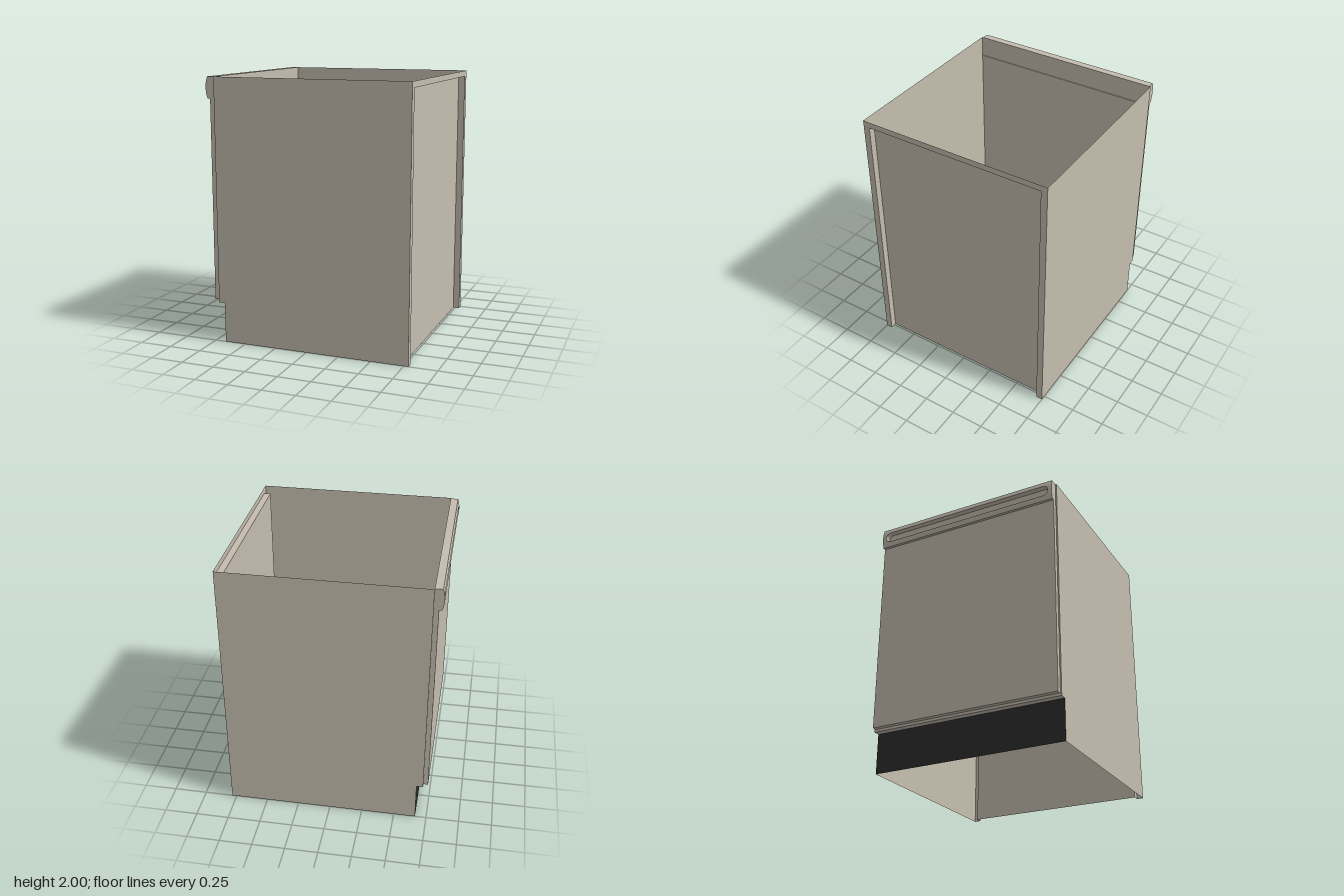
import * as THREE from 'three';
import { toCreasedNormals } from 'three/addons/utils/BufferGeometryUtils.js';

export function createModel() {
  const model = new THREE.Group();
  model.name = 'undercounterAppliance';
  // thin sheet metal is open, so both sides show
  const panelPaint = new THREE.MeshStandardMaterial({ color: 0xc5beaf, side: THREE.DoubleSide });
  panelPaint.name = 'warm grey panel';
  const kickPaint = new THREE.MeshStandardMaterial({ color: 0x2d2d2d, side: THREE.DoubleSide });
  kickPaint.name = 'black kick plate';

  const add = (name, geo, mat = panelPaint) => {
    const mesh = new THREE.Mesh(geo, mat);
    mesh.name = name;
    model.add(mesh);
    return mesh;
  };
  const outline = (pts) =>
    new THREE.ShapeGeometry(new THREE.Shape(pts.map(([a, b]) => new THREE.Vector2(a, b))));
  // sheet across x, from y0 to y1, facing side s
  const sheetX = (x, halfZ, y0, y1, s) =>
    new THREE.PlaneGeometry(2 * halfZ, y1 - y0).rotateY(s * Math.PI / 2).translate(x, (y0 + y1) / 2, 0);
  // level sheet
  const sheetY = (y, x0, x1, halfZ) =>
    new THREE.PlaneGeometry(x1 - x0, 2 * halfZ).rotateX(-Math.PI / 2).translate((x0 + x1) / 2, y, 0);

  const F = -0.714, K = -0.665, B = 0.785, R = 0.735; // front, kick, back, back recess
  const W = 0.75, RW = 0.70, RT = 1.955, KT = 0.305;

  // side walls with the toe notch
  const sidePts = [[K, 0], [B, 0], [B, 2], [F, 2], [F, KT], [K, KT]];
  for (const s of [1, -1]) {
    add(s > 0 ? 'leftSideWall' : 'rightSideWall', outline(sidePts).translate(0, 0, s * W));
    // cheeks of the back recess
    add('recessCheek', new THREE.PlaneGeometry(B - R, RT).translate((B + R) / 2, RT / 2, s * RW));
  }

  // front wall, toe ledge and kick plate
  add('frontWall', sheetX(F, W, KT, 2, -1));
  add('toeLedge', sheetY(KT, F, K, W));
  add('kickPlate', sheetX(K, W, 0, KT, -1), kickPaint);

  // back frame around the recessed panel
  const framePts = [[-W, 0], [-RW, 0], [-RW, RT], [RW, RT], [RW, 0], [W, 0], [W, 2], [-W, 2]];
  add('backFrame', outline(framePts).rotateY(Math.PI / 2).translate(B, 0, 0));
  add('backPanel', sheetX(R, RW, 0, RT, 1));
  add('recessTop', sheetY(RT, R, B, RW));

  // door slab
  add('door', new THREE.BoxGeometry(0.043, 1.515, 1.48).translate(-0.7285, 1.0825, 0));

  // bowed control strip with a round-ended grip slot, lofted along z
  const midY = 1.92, half = 0.08, floorX = -0.738, slotR = 0.04, slotEnd = 0.71, end = 0.74;
  const bow = (d) => -0.785 + 0.015 * (d / half) ** 2;
  const section = (h) => {
    const upper = [];
    for (let i = 0; i <= 6; i++) {
      const d = half + (h - half) * i / 6;
      upper.push([bow(d), d]);
    }
    const top = [[F, half], ...upper, [floorX, h]];
    const bottom = top.map(([x, d]) => [x, -d]).reverse();
    return [...top, ...bottom].map(([x, d]) => [x, midY + d]);
  };
  const stations = [[-end, 0]];
  for (const s of [-1, 1]) {
    for (let i = 0; i <= 8; i++) {
      const a = (s < 0 ? i : 8 - i) / 8 * Math.PI / 2;
      stations.push([s * (slotEnd - slotR + slotR * Math.cos(a)), slotR * Math.sin(a)]);
    }
  }
  stations.push([end, 0]);

  const rings = stations.map(([z, h]) =>
    section(Math.max(h, 0)).map(([x, y]) => new THREE.Vector3(x, y, z)));
  const pos = [];
  const tri = (a, b, c) => {
    const area = b.clone().sub(a).cross(c.clone().sub(a)).length();
    if (area > 1e-9) for (const p of [a, b, c]) pos.push(p.x, p.y, p.z);
  };
  for (let i = 0; i + 1 < rings.length; i++) {
    const n = rings[i].length;
    for (let j = 0; j < n; j++) {
      const k = (j + 1) % n;
      const a = rings[i][j], b = rings[i][k], c = rings[i + 1][k], d = rings[i + 1][j];
      tri(a, b, c);
      tri(a, c, d);
    }
  }
  const strip = new THREE.BufferGeometry();
  strip.setAttribute('position', new THREE.Float32BufferAttribute(pos, 3));
  add('handleStrip', toCreasedNormals(strip, 0.5));

  // strip end caps
  const capPts = [[F, midY + half]];
  for (let i = 0; i <= 12; i++) {
    const d = half - 2 * half * i / 12;
    capPts.push([bow(d), midY + d]);
  }
  capPts.push([F, midY - half]);
  for (const s of [1, -1]) add('handleEndCap', outline(capPts).translate(0, 0, s * end));

  return model;
}
